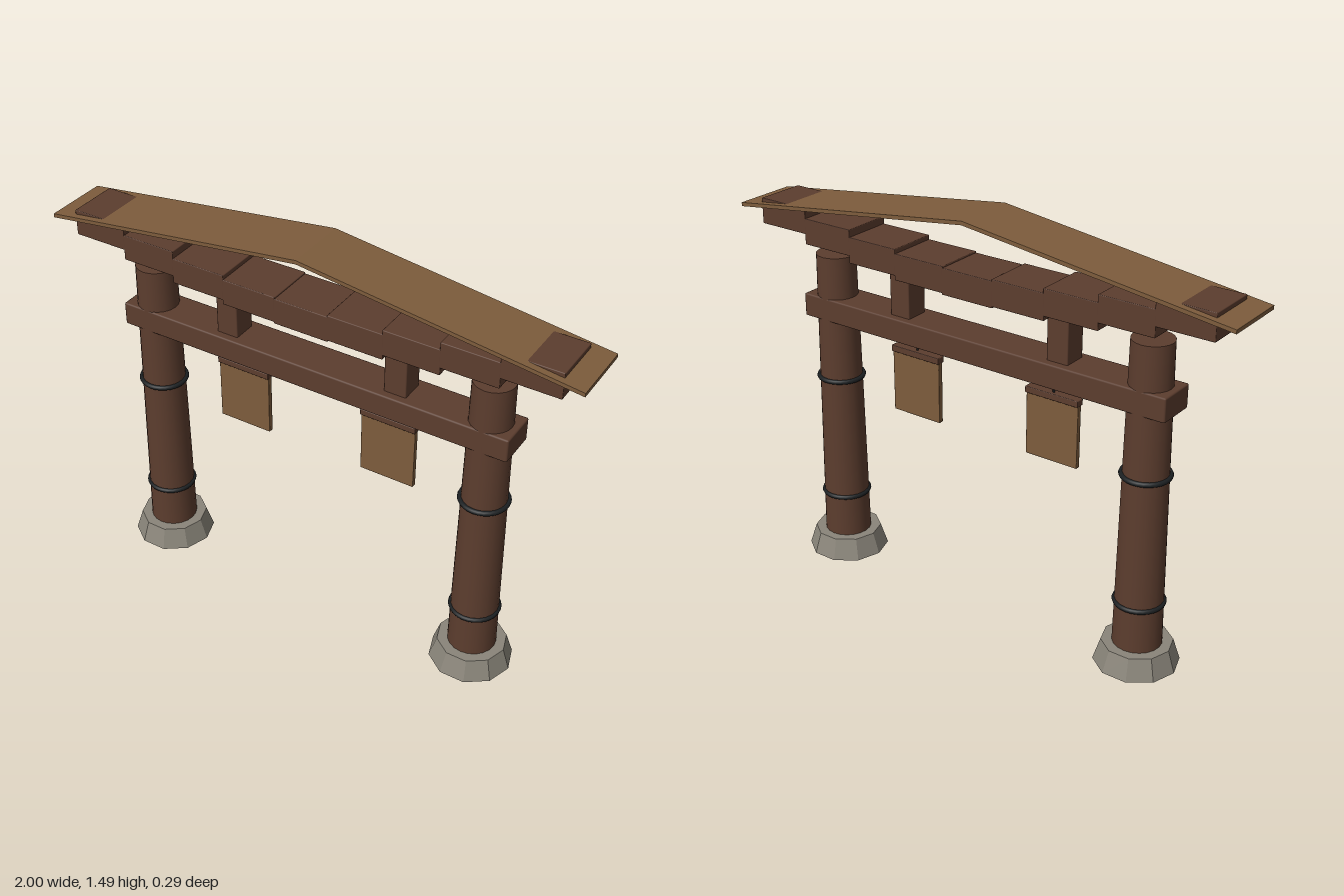
import * as THREE from 'three';
import { RoundedBoxGeometry } from 'three/addons/geometries/RoundedBoxGeometry.js';

export function createModel() {
  const model = new THREE.Group();
  model.name = 'woodenGate';

  const material = (name, color, extra = {}) =>
    Object.assign(new THREE.MeshStandardMaterial({ color, ...extra }), { name });
  const darkWood = material('darkWood', 0x5c3d2e);
  const paleWood = material('paleWood', 0x7d5c3c);
  const stone = material('stone', 0x8a857a, { flatShading: true });
  const iron = material('iron', 0x1c2022);

  const add = (parent, name, geometry, mat, x = 0, y = 0, z = 0) => {
    const mesh = new THREE.Mesh(geometry, mat);
    mesh.name = name;
    mesh.position.set(x, y, z);
    parent.add(mesh);
    return mesh;
  };
  // Box with a slight edge bevel
  const block = (w, h, d, bevel = 0.004) => new RoundedBoxGeometry(w, h, d, 1, bevel);

  for (const [side, s] of [['left', 1], ['right', -1]]) {
    // Tapered post on a ten-sided stone footing, with two iron bands
    const post = new THREE.Group();
    post.name = side + 'PostAssembly';
    post.position.x = s * 0.66;
    model.add(post);
    const footing = new THREE.CylinderGeometry(0.126, 0.152, 0.08, 10);
    footing.rotateY(Math.PI / 2);
    add(post, 'footing', footing, stone, 0, 0.04);
    add(post, 'post', new THREE.CylinderGeometry(0.0725, 0.088, 1.14, 20), darkWood, 0, 0.64);
    for (const [y, r] of [[0.245, 0.085], [0.73, 0.082]]) {
      const band = new THREE.TorusGeometry(r, 0.009, 8, 28);
      band.rotateX(Math.PI / 2);
      add(post, 'ironBand', band, iron, 0, y);
    }

    // Short strut between the two beams
    add(model, side + 'Strut', block(0.083, 0.22, 0.09), darkWood, s * 0.331, 1.14);

    // Hanging board with its top rail and cord
    const sign = new THREE.Group();
    sign.name = side + 'HangingBoard';
    sign.position.x = s * 0.292;
    model.add(sign);
    add(sign, 'board', block(0.208, 0.24, 0.02, 0.003), paleWood, 0, 0.784);
    add(sign, 'topRail', block(0.212, 0.024, 0.034, 0.003), darkWood, 0, 0.908);
    add(sign, 'cord', new THREE.CylinderGeometry(0.004, 0.004, 0.06, 8), iron, 0, 0.945);
  }

  // Straight tie beam
  add(model, 'tieBeam', block(1.514, 0.087, 0.148, 0.006), darkWood, 0, 1.01);

  // Upper beam: nine stepped blocks rising in a curve towards the ends
  for (let i = -4; i <= 4; i++) {
    const bottom = 1.205 + 0.087 * (i / 4) ** 2;
    add(model, 'lintelBlock', block(0.209, 0.096, 0.19, 0.003), darkWood, i * 0.2044, bottom + 0.048);
  }

  // Thin gabled roof
  const t = 0.014;
  const outline = new THREE.Shape([
    [-1, 1.362 - t], [0, 1.491 - t], [1, 1.362 - t], [1, 1.362], [0, 1.491], [-1, 1.362],
  ].map(([x, y]) => new THREE.Vector2(x, y)));
  const roof = new THREE.ExtrudeGeometry(outline, { depth: 0.24, bevelEnabled: false });
  add(model, 'roof', roof, paleWood, 0, 0, -0.12);

  return model;
}
